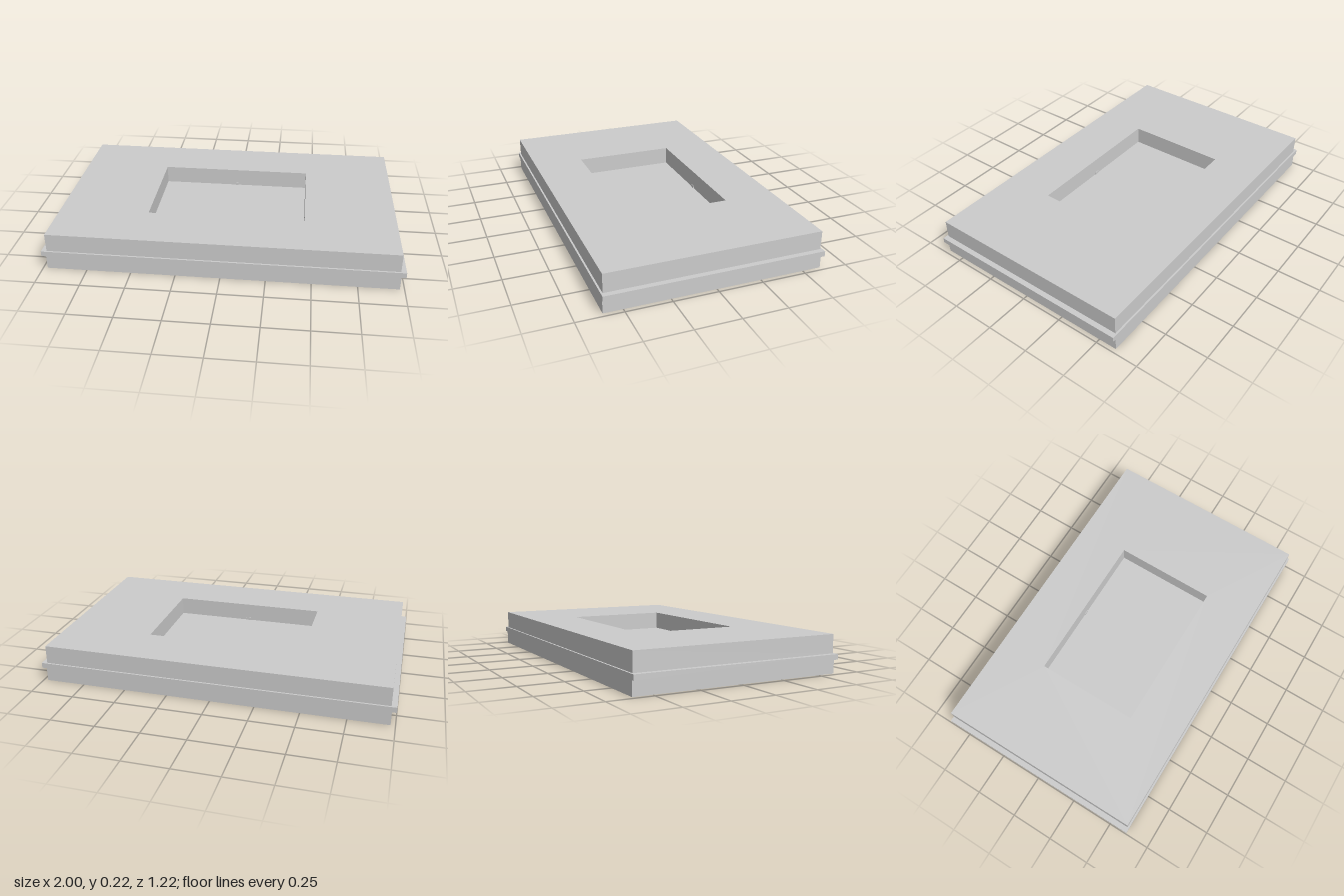
import * as THREE from 'three';

export function createModel() {
  const group = new THREE.Group();
  const material = new THREE.MeshStandardMaterial({ color: 0xcccccc, flatShading: true });

  const add = (name, geometry) => {
    const mesh = new THREE.Mesh(geometry, material);
    mesh.name = name;
    group.add(mesh);
    return mesh;
  };
  // Box given by its extents along each axis
  const box = (name, [x0, x1], [y0, y1], [z0, z1]) =>
    add(name, new THREE.BoxGeometry(x1 - x0, y1 - y0, z1 - z0))
      .position.set((x0 + x1) / 2, (y0 + y1) / 2, (z0 + z1) / 2);
  // Rectangular frame: outer and inner half sizes, from y0 to y1
  const frame = (name, ox, oz, ix, iz, y0, y1) => {
    const rect = (P, x, z) => new P([[-x, -z], [x, -z], [x, z], [-x, z]].map(p => new THREE.Vector2(...p)));
    const shape = rect(THREE.Shape, ox, oz);
    shape.holes.push(rect(THREE.Path, ix, iz));
    const geometry = new THREE.ExtrudeGeometry(shape, { depth: y1 - y0, bevelEnabled: false });
    add(name, geometry.rotateX(-Math.PI / 2).translate(0, y0, 0));
  };

  const LIP0 = 0.08, LIP1 = 0.11, TOP = 0.215;
  const W = 0.45, D = 0.3, RIB = 0.08;

  // Upper slab with a rectangular recess, resting on the projecting lip plate
  frame('upperSlab', 0.97, 0.6, W, D, LIP1, TOP);
  box('lipPlate', [-1, 1], [LIP0, LIP1], [-0.61, 0.61]);

  // Hollow lower skirt, open underneath
  frame('lowerSkirt', 0.975, 0.605, 0.972, 0.602, 0, LIP0);

  // Underside core block with cross ribs reaching the skirt
  box('coreBlock', [-W, W], [0, LIP0], [-D, D]);
  for (const s of [-1, 1]) {
    const span = (a, b) => (s > 0 ? [a, b] : [-b, -a]);
    box('sideRib', span(W, 0.972), [0, LIP0], [-RIB, RIB]);
    box('lengthRib', [-RIB, RIB], [0, LIP0], span(D, 0.602));
    // Tiny tab on the recess wall
    box('recessTab', [-0.015, 0.015], [LIP1, 0.125], span(D - 0.004, D));
  }
  // Small block beside the core
  box('offsetBlock', [-W, -0.18], [0, LIP0], [D, 0.465]);

  return group;
}
